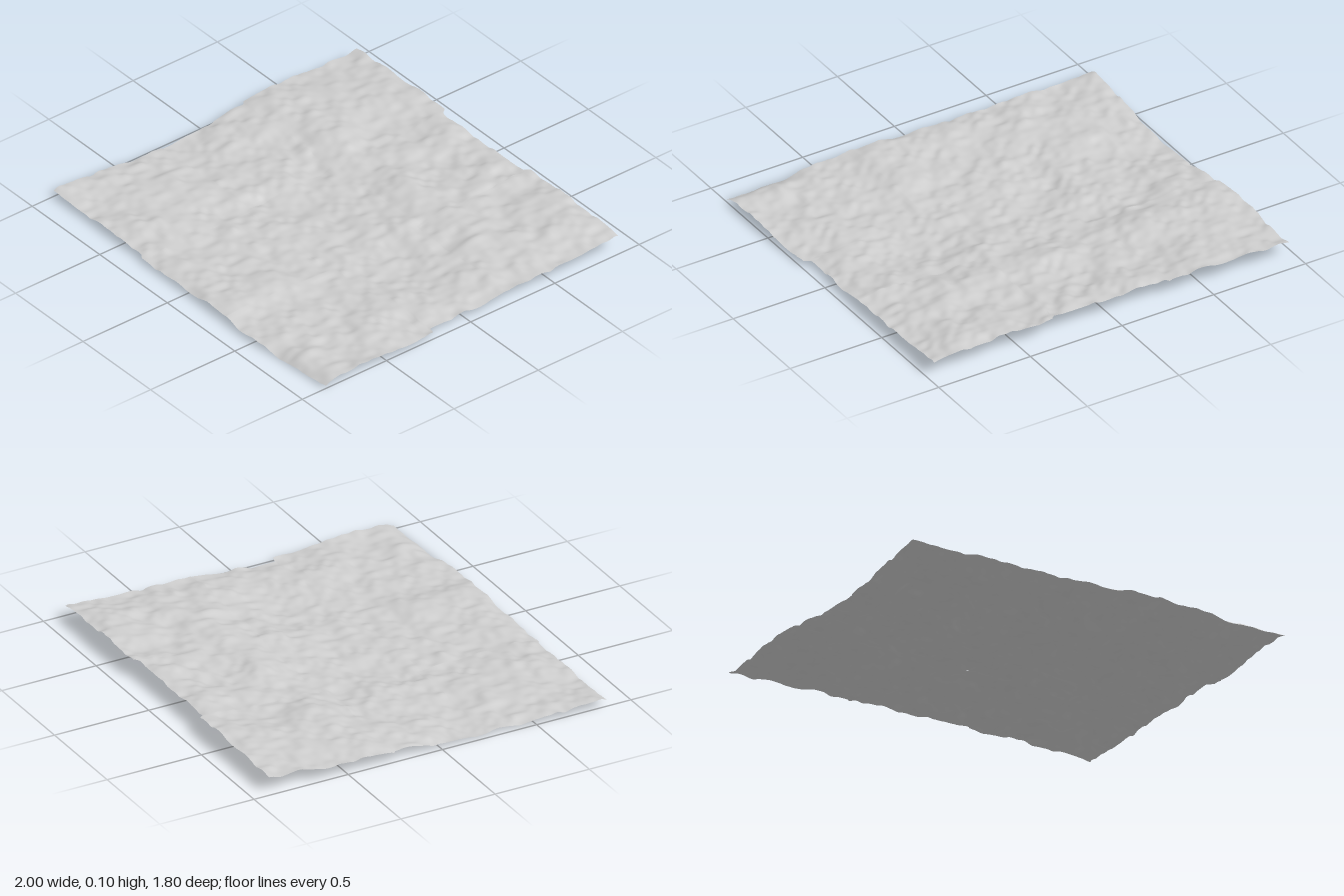
import * as THREE from 'three';

// Piecewise-linear profile through [position, value] points
function profile(points, p) {
  if (p <= points[0][0]) return points[0][1];
  for (let i = 1; i < points.length; i++) {
    const [a, va] = points[i - 1], [b, vb] = points[i];
    if (p <= b) return va + (vb - va) * (p - a) / (b - a);
  }
  return points[points.length - 1][1];
}

// Seeded smooth value noise in -1..1
function hash(i, j) {
  let n = Math.imul(i, 374761393) ^ Math.imul(j, 668265263) ^ 0x5bd1e995;
  n = Math.imul(n ^ (n >>> 13), 1274126177);
  return ((n ^ (n >>> 16)) >>> 0) / 2147483648 - 1;
}
function noise(x, z) {
  const i = Math.floor(x), j = Math.floor(z);
  const s = (t) => t * t * (3 - 2 * t);
  const u = s(x - i), v = s(z - j), mix = THREE.MathUtils.lerp;
  return mix(mix(hash(i, j), hash(i + 1, j), u), mix(hash(i, j + 1), hash(i + 1, j + 1), u), v);
}

// Average ground height from back to front, and along x
const slope = [[-0.9, 0.116], [-0.8, 0.115], [-0.6, 0.1], [-0.4, 0.103], [-0.2, 0.082],
  [0, 0.064], [0.2, 0.054], [0.4, 0.06], [0.6, 0.06], [0.8, 0.062], [0.9, 0.054]];
const swell = [[-1, -0.005], [-0.9, 0], [-0.5, 0.007], [-0.33, -0.008], [0, 0],
  [0.27, 0.004], [0.4, -0.005], [0.75, 0.006], [1, -0.006]];

// Uneven outer border
const leftEdge = [[-0.9, -0.97], [-0.7, -0.97], [-0.6, -0.995], [-0.25, -0.995], [-0.24, -0.98],
  [0.35, -0.975], [0.5, -0.99], [0.87, -1]];
const rightEdge = [[-0.9, 0.965], [-0.1, 0.965], [0.1, 0.95], [0.2, 0.95], [0.21, 0.985],
  [0.4, 0.995], [0.87, 1]];
const backEdge = [[-0.315, -0.904], [-0.305, -0.88], [0.305, -0.88], [0.315, -0.904]];
const frontEdge = [[-0.35, 0.872], [-0.34, 0.885], [0.28, 0.886], [0.42, 0.897], [0.7, 0.878], [1, 0.86]];

function groundHeight(x, z) {
  const cornerDip = 0.036 * Math.exp(-(((x - 0.85) / 0.25) ** 2) - ((z - 0.9) / 0.07) ** 2);
  const y = profile(slope, z) + profile(swell, x) - cornerDip
    + 0.014 * noise(x * 5 + 3, z * 5 + 7)
    + 0.009 * noise(x * 12 + 31, z * 12 + 5)
    + 0.006 * noise(x * 26 + 11, z * 26 + 17);
  return THREE.MathUtils.clamp(y, 0, 0.14);
}

// One rough patch; inner borders overlap the next patch slightly
function patchGeometry(column, row) {
  const xs = [-1, -0.32, 0.31, 1], zs = [-0.9, -0.25, 0.26, 0.9];
  const n = 52, overlap = 0.012;
  const geometry = new THREE.PlaneGeometry(1, 1, n, n).rotateX(-Math.PI / 2);
  const p = geometry.attributes.position;
  for (let i = 0; i < p.count; i++) {
    const u = p.getX(i) + 0.5, v = p.getZ(i) + 0.5;
    const x0 = xs[column] - (column > 0 ? overlap : 0);
    const x1 = xs[column + 1] + (column < 2 ? overlap : 0);
    const z0 = zs[row] - (row > 0 ? overlap : 0);
    const z1 = zs[row + 1] + (row < 2 ? overlap : 0);
    const roughX = THREE.MathUtils.lerp(x0, x1, u), roughZ = THREE.MathUtils.lerp(z0, z1, v);
    const left = column === 0 ? profile(leftEdge, roughZ) : x0;
    const right = column === 2 ? profile(rightEdge, roughZ) : x1;
    const back = row === 0 ? profile(backEdge, roughX) : z0;
    const front = row === 2 ? profile(frontEdge, roughX) : z1;
    const x = THREE.MathUtils.lerp(left, right, u), z = THREE.MathUtils.lerp(back, front, v);
    const layer = ((column + row) % 2) * 0.003;
    p.setXYZ(i, x, Math.max(0, groundHeight(x, z) - layer), z);
  }
  geometry.computeVertexNormals();
  return geometry;
}

export function createModel() {
  const model = new THREE.Group();
  model.name = 'roughGround';
  const stone = new THREE.MeshStandardMaterial({ color: 0xcccccc, side: THREE.DoubleSide });
  stone.name = 'grey stone';

  // Three by three ground patches
  for (let row = 0; row < 3; row++) {
    for (let column = 0; column < 3; column++) {
      const patch = new THREE.Mesh(patchGeometry(column, row), stone);
      patch.name = `groundPatch${row + 1}${column + 1}`;
      model.add(patch);
    }
  }
  return model;
}
